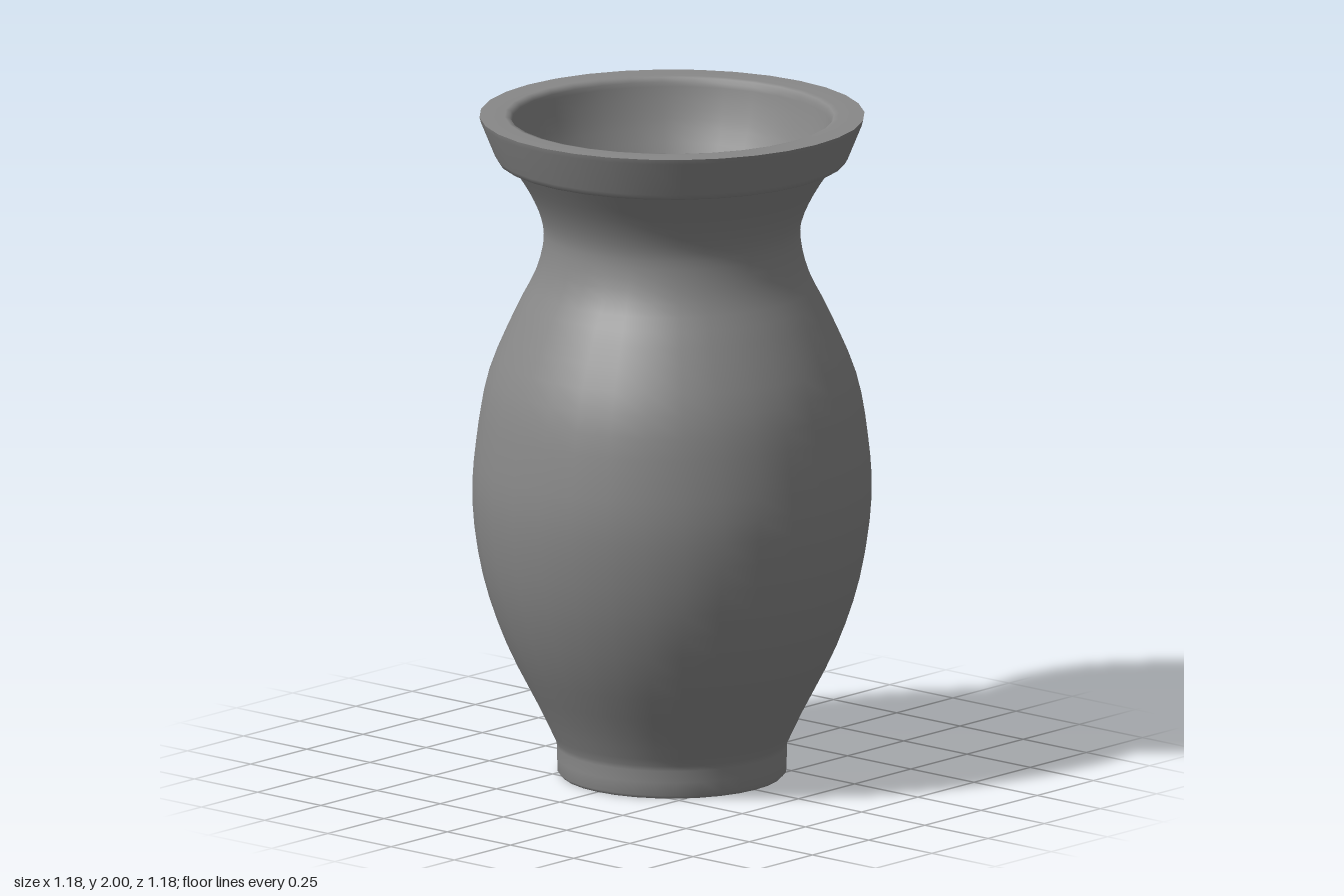
import * as THREE from 'three';

const SIDES = 32;
const material = new THREE.MeshStandardMaterial({ color: 0x888888 });

const toPoints = (pairs) => pairs.map(([r, y]) => new THREE.Vector2(r, y));
const smooth = (pairs, n) => new THREE.SplineCurve(toPoints(pairs)).getPoints(n);

export function createModel() {
  const model = new THREE.Group();

  // Profiles running upwards face outwards; downwards they face the axis
  const addTurned = (name, points) => {
    const mesh = new THREE.Mesh(new THREE.LatheGeometry(points, SIDES), material);
    mesh.name = name;
    model.add(mesh);
  };

  // Flat underside of the foot
  addTurned('footUnderside', toPoints([[0, 0], [0.33, 0]]));

  // Foot band, belly and flaring neck, blended into one surface
  const foot = [[0.33, 0], [0.339, 0.01], [0.34, 0.05], [0.34, 0.085]];
  const belly = [
    [0.343, 0.1], [0.39, 0.2], [0.49, 0.4], [0.56, 0.61], [0.591, 0.83], [0.58, 1.02],
    [0.545, 1.21], [0.465, 1.4], [0.405, 1.52], [0.381, 1.62], [0.387, 1.69], [0.422, 1.77], [0.48, 1.86],
  ];
  addTurned('body', [...toPoints(foot), ...smooth(belly, 36)]);

  // Rim: ledge underneath, rounded lower edge and flared side
  addTurned('rimSide', toPoints([
    [0.48, 1.86], [0.486, 1.864], [0.508, 1.864], [0.516, 1.868], [0.524, 1.882], [0.566, 1.985], [0.57, 2],
  ]));

  // Flat lip rolling softly over into the hollow
  const lip = [[0.57, 2], [0.55, 2], [0.495, 2], [0.48, 1.997]];

  // Inside narrows at the neck, then follows the belly down to a rounded floor
  const hollow = [
    [0.474, 1.985], [0.462, 1.93], [0.438, 1.85], [0.39, 1.73], [0.368, 1.63], [0.39, 1.52], [0.45, 1.4],
    [0.53, 1.21], [0.565, 1.02], [0.575, 0.83], [0.545, 0.61], [0.475, 0.4], [0.375, 0.2], [0.22, 0.09], [0, 0.06],
  ];
  addTurned('lipAndHollow', [...toPoints(lip), ...smooth(hollow, 42)]);

  return model;
}
